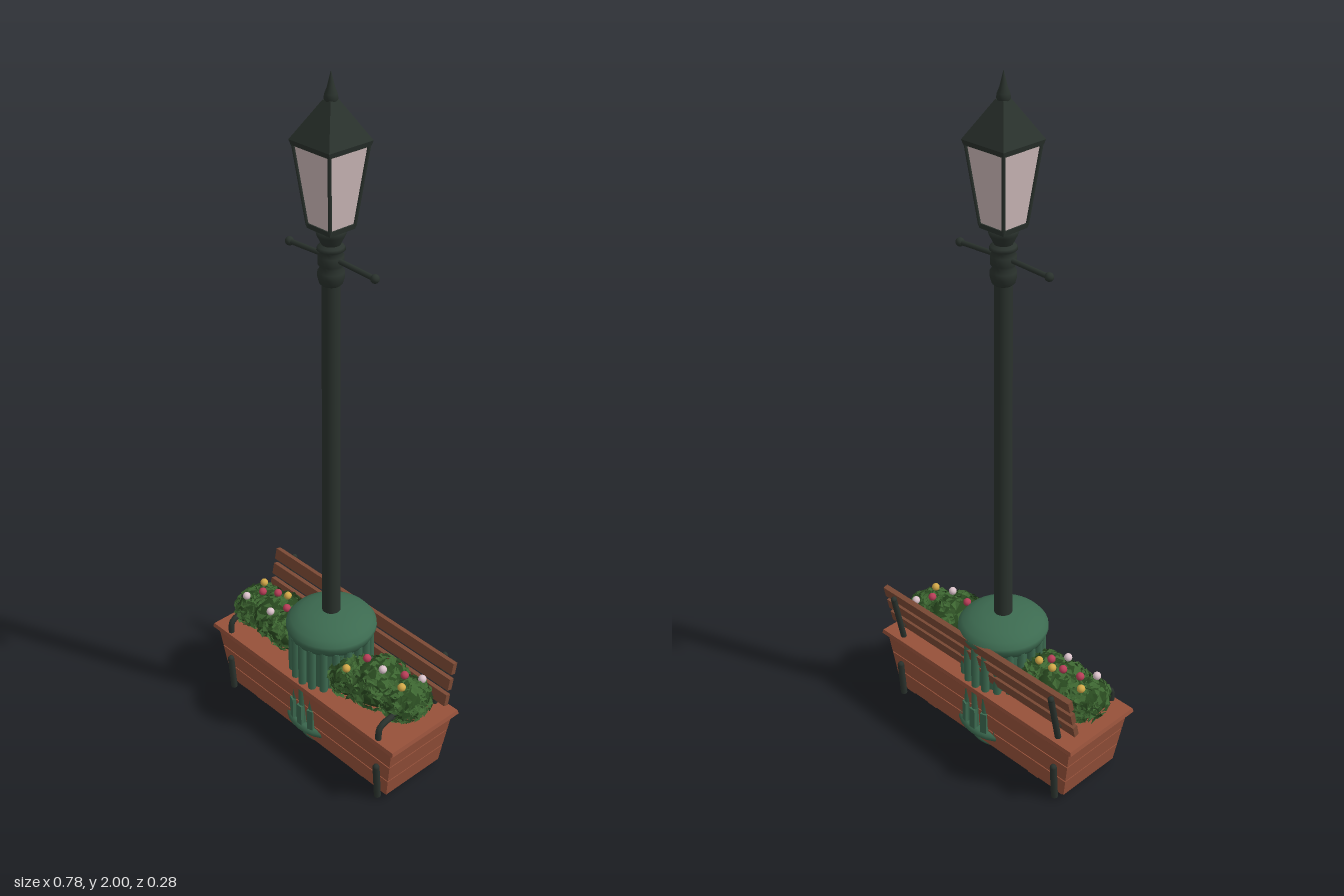
import * as THREE from 'three';
import { mergeGeometries } from 'three/addons/utils/BufferGeometryUtils.js';

const mat = (name, color, extra = {}) => {
  const m = new THREE.MeshStandardMaterial({ color, ...extra });
  m.name = name;
  return m;
};
const V = (x, y, z) => new THREE.Vector3(x, y, z);

// Box whose bottom and top differ in size, standing on y0
function taperedBox(w0, d0, w1, d1, y0, y1) {
  const g = new THREE.BoxGeometry(1, 1, 1), p = g.attributes.position;
  for (let i = 0; i < p.count; i++) {
    const top = p.getY(i) > 0;
    p.setXYZ(i, p.getX(i) * (top ? w1 : w0), top ? y1 : y0, p.getZ(i) * (top ? d1 : d0));
  }
  g.computeVertexNormals();
  return g;
}

// Round bar between two points
function rod(a, b, r, sides = 8, r2 = r) {
  const dir = b.clone().sub(a);
  const g = new THREE.CylinderGeometry(r2, r, dir.length(), sides);
  g.applyQuaternion(new THREE.Quaternion().setFromUnitVectors(V(0, 1, 0), dir.normalize()));
  return g.translate(...a.clone().add(b).multiplyScalar(0.5).toArray());
}

const lathe = (pts, n = 32) => new THREE.LatheGeometry(pts.map(([x, y]) => new THREE.Vector2(x, y)), n);

export function createModel() {
  const iron = mat('dark iron', 0x2a322d);
  const green = mat('green enamel', 0x3c6a50);
  const clay = mat('terracotta', 0x96513a);
  const wood = mat('bench wood', 0x7a4934);
  const glass = mat('lantern glass', 0xcdb9b9);
  const leafMats = [mat('leaf green', 0x3d6631, { side: THREE.DoubleSide }),
    mat('deep leaf green', 0x28481f, { side: THREE.DoubleSide })];
  const petals = { red: mat('red petals', 0xb83e58), yellow: mat('yellow petals', 0xd2a848), white: mat('white petals', 0xdcc4cc) };

  const root = new THREE.Group();
  root.name = 'lampPlanter';
  const add = (name, geo, m, parent = root) => {
    const mesh = new THREE.Mesh(geo, m);
    mesh.name = name;
    parent.add(mesh);
    return mesh;
  };
  const group = (name, z = 0) => {
    const g = new THREE.Group();
    g.name = name;
    g.position.z = z;
    root.add(g);
    return g;
  };

  // Planter: inset core, three plank courses, rim and feet
  const planter = group('planter', 0.007);
  const W = y => 0.69 + (y - 0.02) * 0.33, D = y => 0.212 + (y - 0.02) * 0.17;
  add('planterCore', taperedBox(W(0.02) - 0.012, D(0.02) - 0.012, W(0.2) - 0.012, D(0.2) - 0.012, 0.022, 0.2), clay, planter);
  for (let i = 0; i < 3; i++) {
    const a = 0.02 + i * 0.062, b = a + 0.058;
    add('planterPlank', taperedBox(W(a), D(a), W(b), D(b), a, b), clay, planter);
  }
  add('planterRim', taperedBox(0.765, 0.252, 0.782, 0.266, 0.2, 0.209), clay, planter);
  add('planterRimTop', taperedBox(0.782, 0.266, 0.776, 0.26, 0.209, 0.221), clay, planter);
  for (const x of [-0.31, -0.215, 0.215, 0.31]) for (const z of [-0.075, 0.075])
    add('planterFoot', new THREE.BoxGeometry(0.038, 0.018, 0.04).translate(x, 0.012, z), clay, planter);

  // Fluted column with domed cap
  const column = group('column', 0.006);
  add('columnFoot', lathe([[0, 0], [0.098, 0], [0.1, 0.012], [0.085, 0.022], [0.085, 0.05]]), green, column);
  add('columnRing', lathe([[0.08, 0.046], [0.128, 0.046], [0.134, 0.054], [0.134, 0.064], [0.126, 0.072], [0.1, 0.078]]), green, column);
  add('columnCore', new THREE.CylinderGeometry(0.106, 0.106, 0.3, 32, 1, true).translate(0, 0.215, 0), green, column);
  const flutes = [];
  for (let i = 0; i < 20; i++) {
    const a = (i / 20) * Math.PI * 2;
    flutes.push(new THREE.CylinderGeometry(0.012, 0.012, 0.3, 8).translate(Math.sin(a) * 0.114, 0.21, Math.cos(a) * 0.114));
    flutes.push(new THREE.BoxGeometry(0.02, 0.07, 0.012).translate(0, 0.105, 0.124).rotateY(a));
  }
  add('columnFlutes', mergeGeometries(flutes.map(g => g.toNonIndexed())), green, column);
  add('columnCap', lathe([[0.09, 0.352], [0.122, 0.354], [0.127, 0.366], [0.132, 0.378], [0.131, 0.388],
    [0.118, 0.404], [0.092, 0.418], [0.058, 0.428], [0.02, 0.432]], 40), green, column);

  // Lamp post, collar, ladder bar
  const lamp = group('lamp', 0.006);
  add('post', new THREE.CylinderGeometry(0.024, 0.027, 1.05, 20).translate(0, 0.945, 0), iron, lamp);
  add('collar', lathe([[0.024, 1.455], [0.03, 1.46], [0.035, 1.478], [0.035, 1.492], [0.028, 1.502], [0.034, 1.512],
    [0.034, 1.535], [0.026, 1.543], [0.037, 1.552], [0.034, 1.56], [0.02, 1.568]], 20), iron, lamp);
  for (const s of [-1, 1]) {
    add('ladderBar', rod(V(0, 1.529, 0), V(s * 0.157, 1.523, 0), 0.007), iron, lamp);
    add('ladderBarKnob', new THREE.SphereGeometry(0.012, 12, 8).translate(s * 0.157, 1.523, 0), iron, lamp);
  }

  // Lantern: cup, glass, frame, roof, finial
  add('lanternCup', lathe([[0.02, 1.555], [0.026, 1.568], [0.037, 1.59], [0.042, 1.612], [0, 1.614]], 16), iron, lamp);
  add('lanternBase', taperedBox(0.084, 0.084, 0.09, 0.09, 1.606, 1.62), iron, lamp);
  add('lanternGlass', taperedBox(0.082, 0.082, 0.128, 0.128, 1.618, 1.824), glass, lamp);
  for (const x of [-1, 1]) for (const z of [-1, 1])
    add('lanternCornerBar', rod(V(x * 0.041, 1.614, z * 0.041), V(x * 0.065, 1.826, z * 0.065), 0.005, 6), iron, lamp);
  add('lanternEaves', taperedBox(0.136, 0.136, 0.144, 0.144, 1.818, 1.832), iron, lamp);
  add('lanternRoof', taperedBox(0.144, 0.144, 0.028, 0.028, 1.832, 1.93), iron, lamp);
  add('finial', lathe([[0.014, 1.925], [0.018, 1.934], [0.016, 1.945], [0.01, 1.96], [0.004, 1.985], [0, 2]], 14), iron, lamp);

  // Bench back slats with iron supports, arm rails and legs
  const bench = group('benchBack');
  for (let i = 0; i < 3; i++) {
    const slat = add('slat', new THREE.BoxGeometry(0.752, 0.036, 0.016), wood, bench);
    slat.position.set(0, 0.27 + i * 0.05, -0.09 - i * 0.0115);
    slat.rotation.x = -0.22;
  }
  for (const x of [-0.32, 0.32]) {
    add('backSupport', rod(V(x, 0.21, -0.098), V(x, 0.375, -0.133), 0.009), iron, bench);
    add('supportTip', new THREE.SphereGeometry(0.0095, 10, 8).translate(x, 0.375, -0.133), iron, bench);
    const rail = new THREE.CatmullRomCurve3([V(x, 0.262, -0.1), V(x, 0.268, 0), V(x, 0.268, 0.1), V(x, 0.255, 0.121), V(x, 0.218, 0.124)]);
    add('armRail', new THREE.TubeGeometry(rail, 20, 0.009, 8), iron, bench);
    for (const s of [-1, 1]) {
      const z = v => 0.007 + s * v;
      add('leg', rod(V(x, 0.006, z(0.116)), V(x, 0.12, z(0.124)), 0.01), iron, bench);
      add('legTip', new THREE.SphereGeometry(0.01, 10, 8).translate(x, 0.12, z(0.124)), iron, bench);
    }
  }

  // Shrubs: overlapping ellipsoids covered by folded leaves
  let seed = 7;
  const rnd = () => (seed = (seed * 16807) % 2147483647) / 2147483647;
  const spread = k => (rnd() - 0.5) * k;
  const blobs = [ // centre x y z, radii x y z
    [-0.305, 0.277, 0.02, 0.066, 0.055, 0.08], [-0.225, 0.283, 0.015, 0.08, 0.058, 0.085], [-0.15, 0.278, 0.02, 0.07, 0.055, 0.08],
    [0.13, 0.282, 0.045, 0.065, 0.058, 0.065], [0.21, 0.292, 0.015, 0.085, 0.064, 0.09], [0.3, 0.28, 0.0, 0.068, 0.055, 0.075]];
  const leafGeo = [[], []];
  const shrubs = group('shrubs');
  for (const [cx, cy, cz, rx, ry, rz] of blobs) {
    add('shrubCore', new THREE.IcosahedronGeometry(1, 2).scale(rx * 0.93, ry * 0.93, rz * 0.93).translate(cx, cy, cz), leafMats[1], shrubs);
    for (let i = 0; i < 230; i++) {
      const u = 1 - rnd() * 1.75, a = rnd() * Math.PI * 2, q = Math.sqrt(1 - u * u);
      const d = V(q * Math.cos(a), u, q * Math.sin(a));
      const n = V(d.x / rx, d.y / ry, d.z / rz).normalize().add(V(spread(0.9), spread(0.9), spread(0.9))).normalize();
      const t = V(spread(1), spread(1) - 0.25, spread(1)).cross(n).normalize();
      const s = 0.024 + rnd() * 0.014;
      const g = new THREE.BufferGeometry();
      g.setAttribute('position', new THREE.Float32BufferAttribute(
        [0, 0, -0.5, -0.36, 0.12, -0.1, 0, 0, 0.5, 0, 0, -0.5, 0, 0, 0.5, 0.36, 0.12, -0.1], 3));
      g.computeVertexNormals();
      g.scale(s, s, s);
      g.applyMatrix4(new THREE.Matrix4().makeBasis(n.clone().cross(t), n, t)
        .setPosition(cx + d.x * rx, Math.max(cy + d.y * ry, 0.228), cz + d.z * rz));
      leafGeo[rnd() < 0.7 ? 0 : 1].push(g);
    }
  }
  leafGeo.forEach((list, i) => add('leaves', mergeGeometries(list), leafMats[i], shrubs));

  // Flowers resting on top of the shrubs
  const flowers = {
    yellow: [[-0.32, -0.01], [-0.21, -0.01], [-0.155, -0.005], [0.31, 0.027], [0.145, 0.082]],
    red: [[-0.285, 0.025], [-0.238, 0.005], [-0.175, 0.025], [0.28, -0.015], [0.17, 0.025]],
    white: [[-0.31, 0.068], [-0.2, 0.068], [0.315, -0.05], [0.238, 0.03]]
  };
  for (const [colour, spots] of Object.entries(flowers)) for (const [x, z] of spots) {
    const top = Math.max(...blobs.map(([cx, cy, cz, rx, ry, rz]) =>
      cy + ry * Math.sqrt(Math.max(0, 1 - ((x - cx) / rx) ** 2 - ((z - cz) / rz) ** 2))));
    add('flower', new THREE.SphereGeometry(0.012, 12, 8).translate(x, top + 0.013, z), petals[colour], shrubs);
  }
  return root;
}
